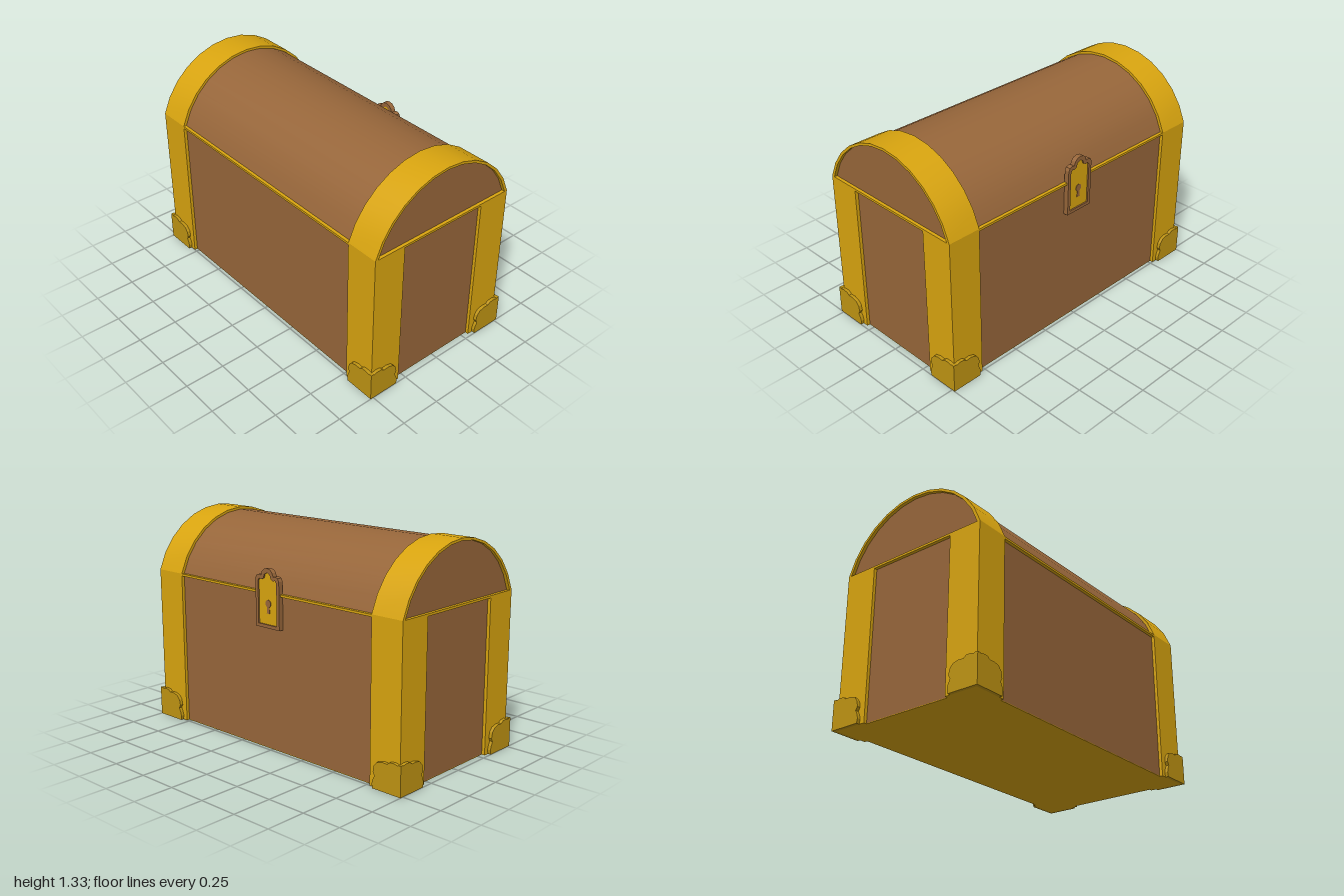
import * as THREE from 'three';
import { toCreasedNormals } from 'three/addons/utils/BufferGeometryUtils.js';

const material = (name, color) => {
  const m = new THREE.MeshStandardMaterial({ color });
  m.name = name;
  return m;
};

// Points along the lid's arch, from +x over the top to -x
function archPoints(halfWidth, springY, topY, segments = 12) {
  const rise = topY - springY;
  const radius = (halfWidth * halfWidth + rise * rise) / (2 * rise);
  const half = Math.asin(halfWidth / radius);
  return Array.from({ length: segments + 1 }, (_, i) => {
    const a = half - (2 * half * i) / segments;
    return new THREE.Vector2(radius * Math.sin(a), topY - radius + radius * Math.cos(a));
  });
}

// Full closed outline from the right half of a symmetric one
function mirrored(half) {
  const left = half.filter(([x]) => x > 0).map(([x, y]) => [-x, y]).reverse();
  return [...half, ...left].map(([x, y]) => new THREE.Vector2(x, y));
}

const extrude = (shape, depth) =>
  new THREE.ExtrudeGeometry(shape, { depth, bevelEnabled: false, curveSegments: 8 });

export function createModel() {
  const gold = material('gold', 0xd8a40f);
  const darkGold = material('darkGold', 0xbf9413);
  const wood = material('wood', 0x97663a);
  const chest = new THREE.Group();
  chest.name = 'chest';

  const add = (parent, name, geometry, mat, x = 0, y = 0, z = 0) => {
    const mesh = new THREE.Mesh(geometry, mat);
    mesh.name = name;
    mesh.position.set(x, y, z);
    parent.add(mesh);
    return mesh;
  };
  const box = (name, w, h, d, mat, x, y, z) =>
    add(chest, name, new THREE.BoxGeometry(w, h, d), mat, x, y, z);

  // Wooden body, gold underside and rim
  box('body', 0.96, 0.946, 1.92, wood, 0, 0.477, 0);
  box('base', 0.96, 0.004, 1.92, gold, 0, 0.002, 0);
  box('rim', 1, 0.014, 1.96, gold, 0, 0.953, 0);

  // Corner posts
  for (const sx of [-1, 1]) {
    for (const sz of [-1, 1]) {
      box('cornerPost', 0.21, 0.946, 0.21, gold, sx * 0.395, 0.473, sz * 0.875);
    }
  }

  // Wooden lid
  const inner = archPoints(0.48, 0.96, 1.31);
  const lid = toCreasedNormals(extrude(new THREE.Shape(inner), 1.92), 0.5);
  add(chest, 'lid', lid, wood, 0, 0, -0.96);

  // Gold bands over both lid ends
  const outer = archPoints(0.5, 0.96, 1.325);
  const bandShape = new THREE.Shape([...outer, ...[...inner].reverse()]);
  const band = toCreasedNormals(extrude(bandShape, 0.21), 0.5);
  for (const z of [-0.98, 0.77]) add(chest, 'lidBand', band, gold, 0, 0, z);

  // Scalloped corner brackets, two plates each
  const scallop = [
    [0, 0], [0, 0.18], [0.025, 0.176], [0.045, 0.182], [0.077, 0.18], [0.095, 0.166],
    [0.13, 0.168], [0.165, 0.158], [0.186, 0.133], [0.193, 0.098], [0.181, 0.077],
    [0.193, 0.053], [0.2, 0.028], [0.195, 0],
  ];
  const plateShape = (s) => new THREE.Shape(scallop.map(([u, v]) => new THREE.Vector2(s * u, v)));
  const endPlate = extrude(plateShape(-1), 0.02).translate(0, 0, -0.02);
  const sidePlate = extrude(plateShape(1), 0.02).rotateY(Math.PI / 2).translate(-0.02, 0, 0);
  [[1, 1], [1, -1], [-1, -1], [-1, 1]].forEach(([sx, sz], i) => {
    const bracket = new THREE.Group();
    bracket.name = 'cornerBracket';
    bracket.position.set(sx * 0.52, 0, sz);
    bracket.rotation.y = (i * Math.PI) / 2;
    add(bracket, 'bracketEndPlate', endPlate, darkGold);
    add(bracket, 'bracketSidePlate', sidePlate, darkGold);
    chest.add(bracket);
  });

  // Lock on the +x side: wooden frame, gold plate, keyhole
  const lock = new THREE.Group();
  lock.name = 'lock';
  lock.rotation.y = Math.PI / 2;
  chest.add(lock);
  const frameOutline = mirrored([
    [0.095, 0.75], [0.095, 1.035], [0.086, 1.053], [0.066, 1.06], [0.05, 1.056],
    [0.042, 1.078], [0.024, 1.095], [0, 1.1],
  ]);
  const plateOutline = mirrored([
    [0.074, 0.77], [0.074, 1.022], [0.064, 1.036], [0.048, 1.032], [0.03, 1.04],
    [0.022, 1.064], [0, 1.075],
  ]);
  const frame = new THREE.Shape(frameOutline);
  frame.holes.push(new THREE.Path(plateOutline));
  add(lock, 'lockFrame', extrude(frame, 0.03), wood, 0, 0, 0.481);
  add(lock, 'lockPlate', extrude(new THREE.Shape(plateOutline), 0.021), gold, 0, 0, 0.481);

  const keyhole = new THREE.Shape();
  keyhole.moveTo(-0.012, 0.835);
  keyhole.lineTo(0.012, 0.835);
  keyhole.lineTo(0.009, 0.875);
  keyhole.absarc(0, 0.893, 0.022, -1.1, Math.PI + 1.1, false);
  keyhole.lineTo(-0.009, 0.875);
  add(lock, 'keyhole', extrude(keyhole, 0.004), wood, 0, 0, 0.501);

  return chest;
}
